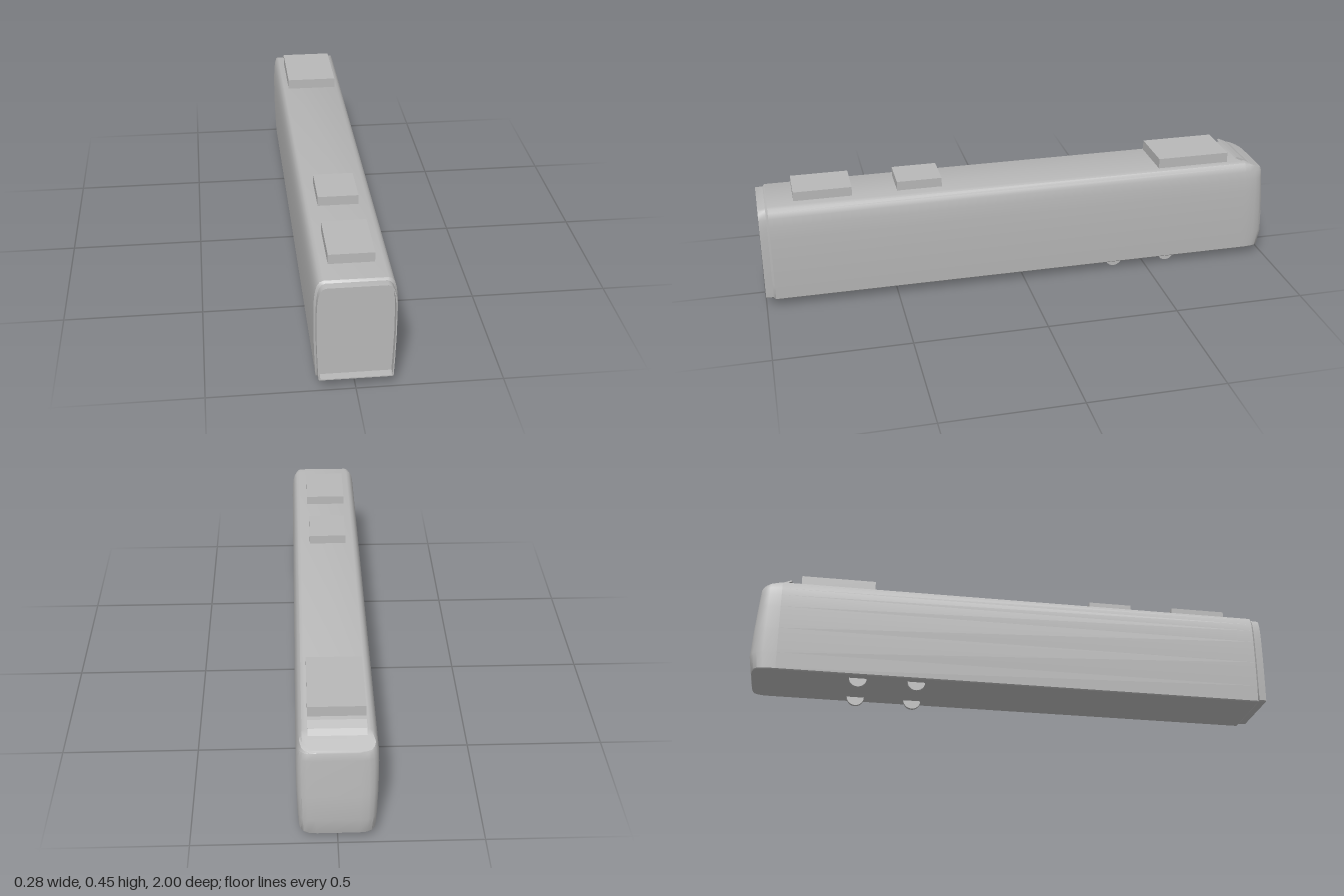
import * as THREE from 'three';
import { toCreasedNormals } from 'three/addons/utils/BufferGeometryUtils.js';

// Right half of the body cross-section, bottom to top: [x, y]
const PROFILE = [
  [0.128, 0.033], [0.132, 0.037], [0.135, 0.1], [0.138, 0.2], [0.138, 0.29], [0.136, 0.34],
  [0.132, 0.37], [0.126, 0.391], [0.117, 0.403], [0.105, 0.408],
];
const MID_Y = 0.22;

// Full ring, counter-clockwise seen from the front
function ring(place) {
  const right = PROFILE.map(([x, y]) => place(x, y));
  const left = right.map(([x, y, z]) => [-x, y, z]).reverse();
  return [...right, ...left];
}

const frontRing = (z, sx, sy) => ring((x, y) => [x * sx, MID_Y + (y - MID_Y) * sy, z]);

// Tail ring: the end leans forward towards the top and the roof slopes down
function tailRing(depth, sx) {
  return ring((x, y) => {
    const lean = y < 0.08 ? 0.85 + 0.15 * (y - 0.033) / 0.047 : 1 - 0.32 * ((y - 0.08) / 0.328) ** 1.3;
    const z = -0.92 - depth * lean;
    return [x * sx, Math.min(y, 0.408 - 0.45 * (-z - 0.9)), z];
  });
}

// Skin a list of rings running front to back, closed at both ends
function loft(rings) {
  const pos = [];
  const quad = (a, b, c, d) => pos.push(...a, ...b, ...c, ...a, ...c, ...d);
  const n = rings[0].length;
  for (let r = 0; r < rings.length - 1; r++) {
    for (let i = 0; i < n; i++) {
      const j = (i + 1) % n;
      quad(rings[r][i], rings[r + 1][i], rings[r + 1][j], rings[r][j]);
    }
  }
  const first = rings[0], last = rings[rings.length - 1];
  for (let i = 0; i < n / 2 - 1; i++) {
    const l = n - 1 - i;
    quad(first[i], first[i + 1], first[l - 1], first[l]);
    quad(last[i], last[l], last[l - 1], last[i + 1]);
  }
  const geo = new THREE.BufferGeometry();
  geo.setAttribute('position', new THREE.Float32BufferAttribute(pos, 3));
  return toCreasedNormals(geo, 0.6);
}

export function createModel() {
  const model = new THREE.Group();
  model.name = 'busRearSection';
  const grey = new THREE.MeshStandardMaterial({ color: 0xb8b8b8 });
  grey.name = 'bodyGrey';

  const add = (name, geo, x = 0, y = 0, z = 0) => {
    const mesh = new THREE.Mesh(geo, grey);
    mesh.name = name;
    mesh.position.set(x, y, z);
    model.add(mesh);
    return mesh;
  };

  // Body: recessed front panel, thin collar, long side walls and rounded tail
  add('body', loft([
    frontRing(0.97, 0.925, 0.94),
    frontRing(1.0, 0.925, 0.94),
    frontRing(1.0, 0.95, 0.96),
    frontRing(0.972, 0.955, 0.965),
    frontRing(0.964, 1, 1),
    frontRing(-0.9, 1, 1),
    tailRing(0, 1),
    tailRing(0.032, 0.985),
    tailRing(0.055, 0.945),
    tailRing(0.07, 0.87),
    tailRing(0.077, 0.75),
    tailRing(0.08, 0.55),
  ]));

  // Raised lip where the roof breaks towards the tail
  const lip = new THREE.Shape();
  lip.moveTo(0.866, 0.42);
  lip.lineTo(0.9, 0.403);
  lip.lineTo(0.925, 0.396);
  lip.lineTo(0.9, 0.412);
  lip.lineTo(0.87, 0.425);
  const lipGeo = new THREE.ExtrudeGeometry(lip, { depth: 0.196, bevelEnabled: false });
  lipGeo.translate(0, 0, -0.098);
  lipGeo.rotateY(Math.PI / 2);
  add('roofLip', lipGeo);

  // Roof units: name, width, top, front z, rear z, centre x
  const units = [
    ['rearRoofUnit', 0.196, 0.447, -0.547, -0.83, 0],
    ['middleRoofUnit', 0.145, 0.443, 0.48, 0.31, -0.003],
    ['frontRoofUnit', 0.156, 0.443, 0.867, 0.65, -0.003],
  ];
  for (const [name, w, top, z1, z2, x] of units) {
    add(name, new THREE.BoxGeometry(w, top - 0.403, z1 - z2), x, (top + 0.403) / 2, (z1 + z2) / 2);
  }

  // Wheels, mostly hidden inside the body
  const wheel = new THREE.CylinderGeometry(0.033, 0.033, 0.013, 24);
  wheel.rotateZ(Math.PI / 2);
  for (const z of [-0.375, -0.595]) {
    for (const side of [-1, 1]) add(side > 0 ? 'leftWheel' : 'rightWheel', wheel, side * 0.0915, 0.033, z);
  }
  return model;
}
